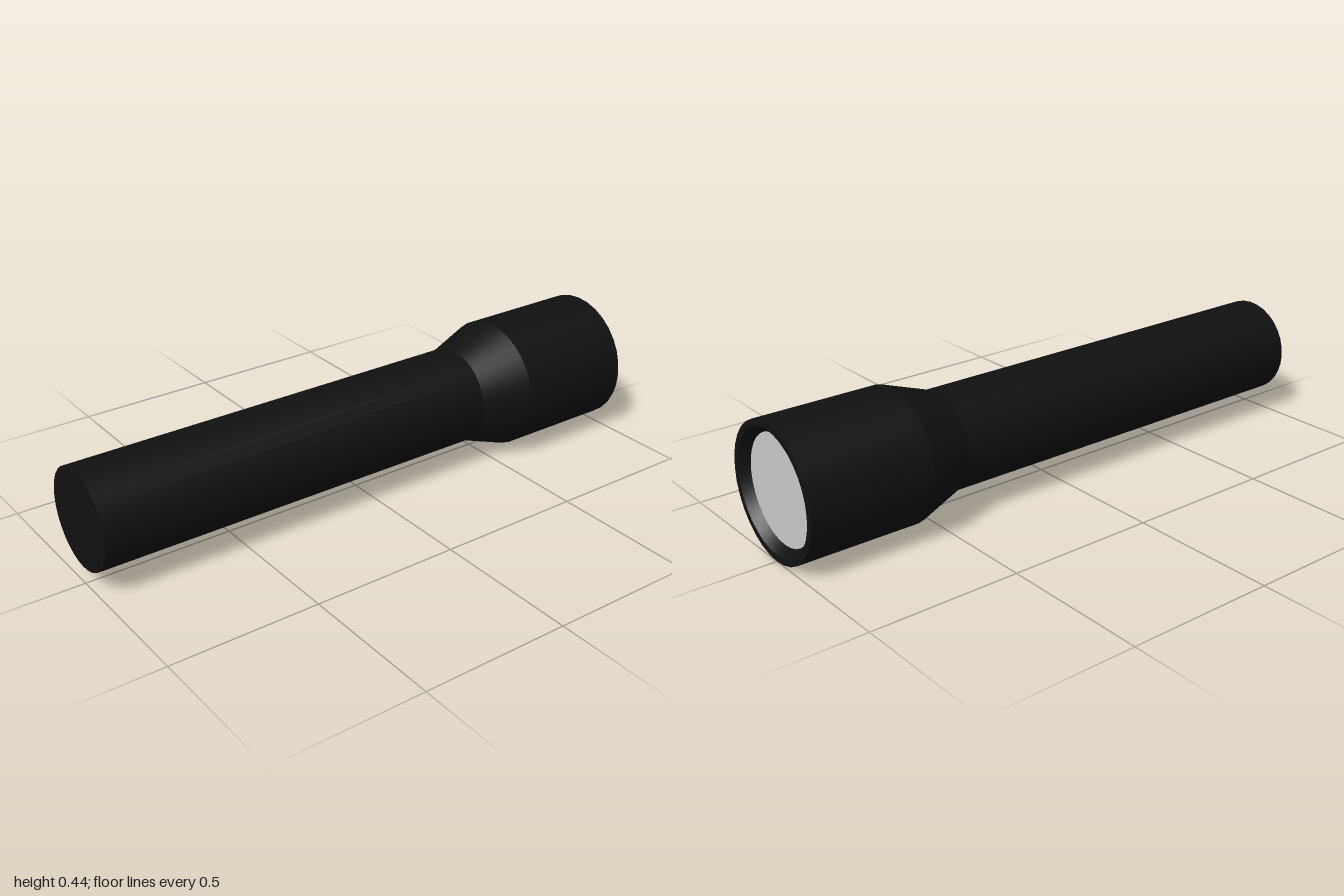
import * as THREE from 'three';
import { toCreasedNormals } from 'three/addons/utils/BufferGeometryUtils.js';

const SEGMENTS = 32;
const AXIS_HEIGHT = 0.222;

const black = new THREE.MeshStandardMaterial({ color: 0x111111 });
black.name = 'black casing';
const grey = new THREE.MeshStandardMaterial({ color: 0xcccccc });
grey.name = 'pale lens';

// Revolves [radius, x] points around the long x axis
function revolve(name, profile, material) {
  const points = profile.map(([r, x]) => new THREE.Vector2(r, x));
  const geometry = new THREE.LatheGeometry(points, SEGMENTS).rotateZ(-Math.PI / 2);
  const mesh = new THREE.Mesh(toCreasedNormals(geometry, 0.28), material);
  mesh.name = name;
  mesh.position.y = AXIS_HEIGHT;
  return mesh;
}

export function createModel() {
  const torch = new THREE.Group();
  torch.name = 'torch';

  // Handle with closed tail
  torch.add(revolve('handle', [[0, -1], [0.165, -1], [0.165, 0.415]], black));

  // Flared head, front rim and the bevel leading in to the lens
  torch.add(revolve('head', [
    [0.165, 0.415], [0.222, 0.58], [0.222, 1], [0.2, 1], [0.177, 0.97],
  ], black));

  // Recessed flat lens
  const lens = new THREE.Mesh(new THREE.CircleGeometry(0.177, SEGMENTS), grey);
  lens.name = 'lens';
  lens.rotation.y = Math.PI / 2;
  lens.position.set(0.97, AXIS_HEIGHT, 0);
  torch.add(lens);

  return torch;
}
